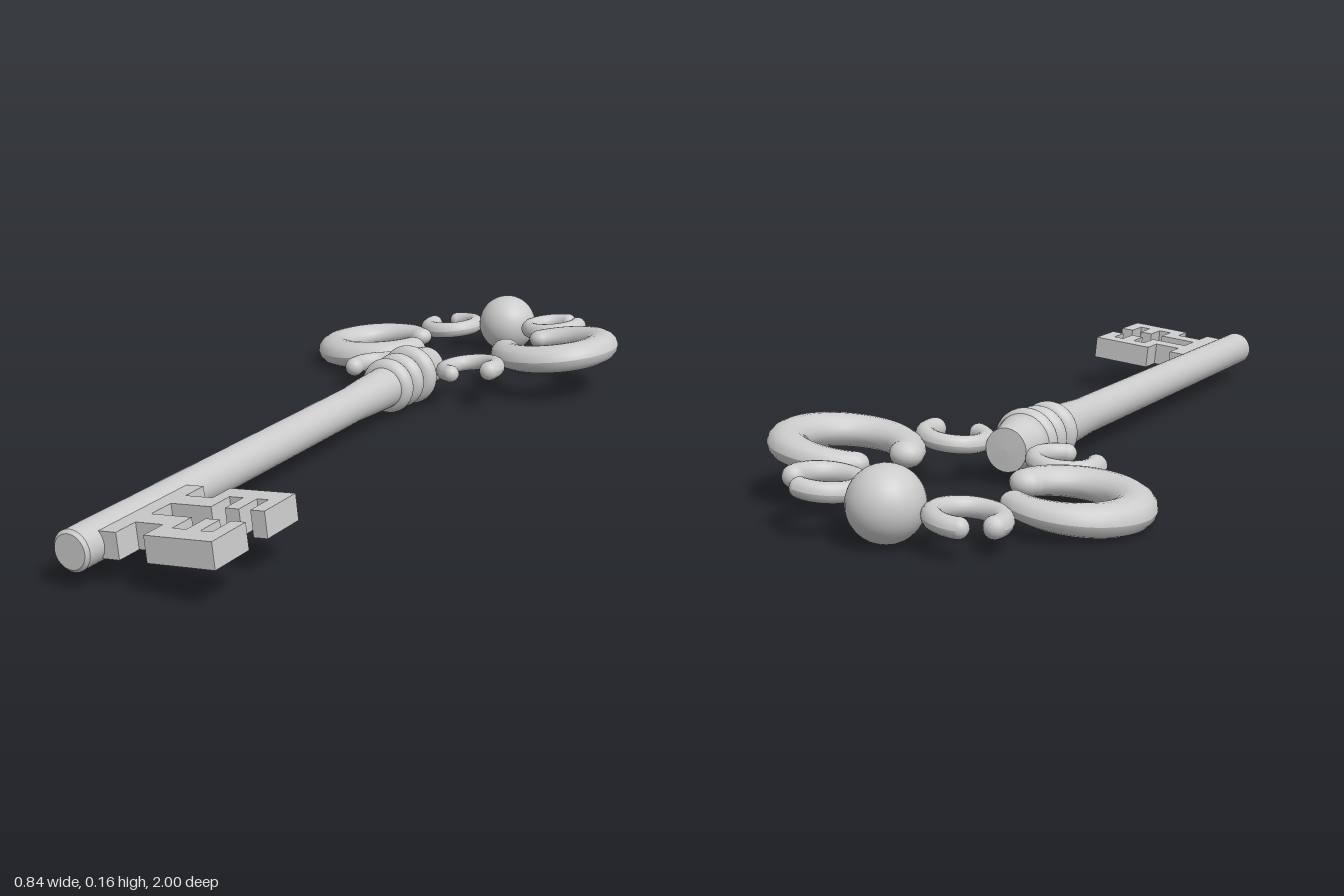
import * as THREE from 'three';

const material = new THREE.MeshStandardMaterial({ color: 0xcccccc });

function part(name, geometry, parent) {
  const mesh = new THREE.Mesh(geometry, material);
  mesh.name = name;
  parent.add(mesh);
  return mesh;
}

// C-shaped scroll lying flat; angles in degrees from +x towards +z,
// r0/r1 = tube radius at the ends, rMid = radius in the middle
function scroll(name, parent, { x, z, R, from, to, r0, rMid, r1, flat = 1 }) {
  const g = new THREE.Group();
  g.name = name;
  g.position.set(x, 0, z);
  const a0 = THREE.MathUtils.degToRad(from), a1 = THREE.MathUtils.degToRad(to);
  const tube = new THREE.TorusGeometry(R, 1, 16, 48, a1 - a0);
  const p = tube.attributes.position, uv = tube.attributes.uv;
  for (let i = 0; i < p.count; i++) {
    const t = uv.getX(i), v = uv.getY(i) * Math.PI * 2;
    const end = t < 0.5 ? r0 : r1;
    const r = end + (rMid - end) * Math.sin(Math.PI * t);
    const a = a0 + (a1 - a0) * t, d = R + r * Math.cos(v);
    p.setXYZ(i, d * Math.cos(a), -r * flat * Math.sin(v), d * Math.sin(a));
  }
  tube.computeVertexNormals();
  part('scrollTube', tube, g);
  // rounded ends
  for (const [a, r] of [[a0, r0], [a1, r1]]) {
    const ball = part('scrollEnd', new THREE.SphereGeometry(r, 16, 12), g);
    ball.scale.y = flat;
    ball.position.set(R * Math.cos(a), 0, R * Math.sin(a));
  }
  parent.add(g);
}

export function createModel() {
  const model = new THREE.Group();
  model.name = 'key';
  const key = new THREE.Group();
  key.name = 'tiltedKey';
  key.rotation.z = 0.118;
  key.position.y = 0.08;
  model.add(key);

  // Shaft, with a flare towards the collar
  const shaft = [[0, -1], [0.036, -1], [0.036, -1], [0.043, -0.993], [0.043, -0.993],
    [0.043, 0], [0.043, 0.05], [0.047, 0.12], [0.05, 0.2], [0.05, 0.23]];
  const lathe = pts => new THREE.LatheGeometry(pts.map(q => new THREE.Vector2(...q)), 32).rotateX(-Math.PI / 2);
  part('shaft', lathe(shaft), key);

  // Collar rings and neck
  [[0.23, 0.068], [0.285, 0.068], [0.342, 0.074]].forEach(([y, r]) => {
    const ring = [];
    for (let i = 0; i <= 12; i++) {
      const a = -Math.PI / 2 + Math.PI * i / 12;
      ring.push([r - 0.026 + 0.026 * Math.cos(a), y + 0.024 * Math.sin(a)]);
    }
    part('collarRing', lathe(ring), key);
  });
  part('neck', lathe([[0.046, 0.22], [0.046, 0.33], [0.066, 0.355], [0.059, 0.38],
    [0.052, 0.41], [0.048, 0.438], [0.048, 0.438], [0, 0.44]]), key);

  // Ball at the end of the bow
  part('bowBall', new THREE.SphereGeometry(0.077, 32, 24), key).position.z = -0.923;

  // Bow scrolls; the left half is turned over to make the right half
  for (const side of ['left', 'right']) {
    const half = new THREE.Group();
    half.name = side + 'BowHalf';
    half.rotation.z = side === 'left' ? 0 : Math.PI;
    key.add(half);
    scroll('largeScroll', half, { x: 0.256, z: -0.65, R: 0.123, from: -129, to: 163,
      r0: 0.029, rMid: 0.045, r1: 0.036, flat: 0.8 });
    scroll('lowerSmallScroll', half, { x: 0.131, z: -0.42, R: 0.065, from: 112, to: 378,
      r0: 0.021, rMid: 0.02, r1: 0.024 });
    scroll('upperSmallScroll', half, { x: 0.154, z: -0.889, R: 0.066, from: -12, to: 284,
      r0: 0.023, rMid: 0.021, r1: 0.021 });
  }

  // Bit: one half outline mirrored about its middle
  const halfOutline = [[0.02, 0.143], [0.074, 0.143], [0.074, 0.082], [0.138, 0.082], [0.138, 0.143],
    [0.291, 0.143], [0.291, 0.032], [0.259, 0.032], [0.259, 0.095], [0.233, 0.095], [0.233, 0.032],
    [0.201, 0.032], [0.201, 0.095], [0.169, 0.095], [0.169, 0.032], [0.074, 0.032]];
  const outline = [...halfOutline, ...halfOutline.map(([x, y]) => [x, -y]).reverse()];
  const bit = new THREE.ExtrudeGeometry(new THREE.Shape(outline.map(q => new THREE.Vector2(...q))),
    { depth: 0.055, bevelEnabled: false });
  bit.rotateX(Math.PI / 2).translate(0, 0.0275, 0.807);
  part('bit', bit, key);

  return model;
}
